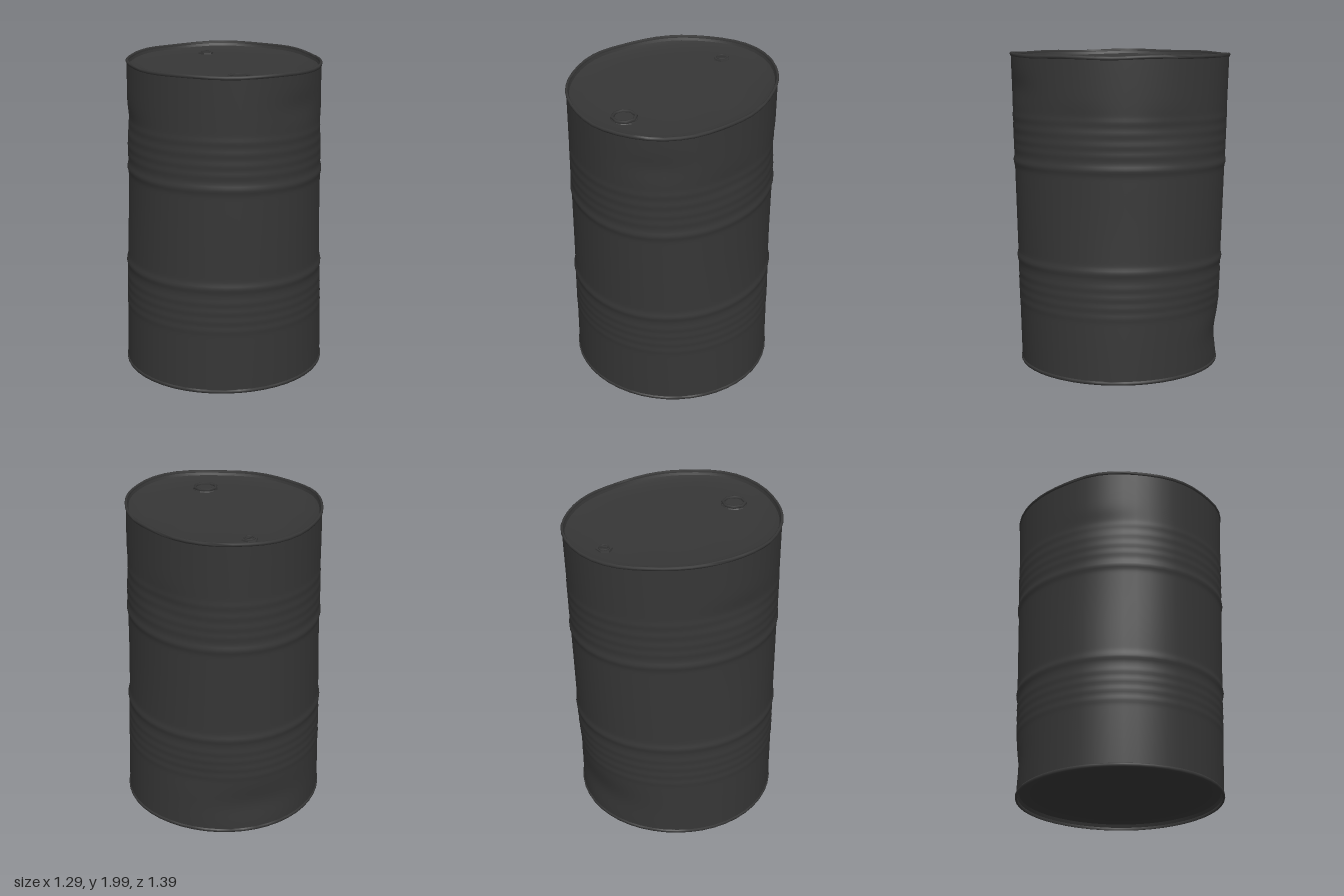
import * as THREE from 'three';
import { toCreasedNormals } from 'three/addons/utils/BufferGeometryUtils.js';

const SEGMENTS = 48;
const material = new THREE.MeshStandardMaterial({ color: 0x363636 });

// Radii of the bent top and bottom edges, in even steps from +z towards +x
const TOP = [0.69, 0.688, 0.645, 0.602, 0.588, 0.603, 0.645, 0.688, 0.692, 0.66, 0.62, 0.603, 0.615, 0.63, 0.649, 0.665];
const BOTTOM = [0.646, 0.641, 0.64, 0.628, 0.632, 0.631, 0.647, 0.656];

// Dents: angle, height, angular size, vertical size, depth
const DENTS = [
  [3.14, 0.2, 0.45, 0.12, 0.021],
  [2.6, 0.4, 0.3, 0.1, 0.008],
  [4.71, 1.62, 0.35, 0.08, 0.012],
  [1.57, 0.95, 0.5, 0.4, 0.01],
  [4.71, 1.2, 0.5, 0.4, 0.01],
  [0.45, 1.78, 0.2, 0.08, 0.01],
  [2.2, 1.55, 0.25, 0.1, 0.01],
  [1.2, 1.6, 0.25, 0.08, 0.008],
];

// Rolled hoops and finer beads: height, half width, bulge
const RIBS = [[0.695, 0.024, 0.008], [1.315, 0.024, 0.008]];
for (const y of [0.42, 0.48, 0.54, 0.6, 1.4, 1.46, 1.53, 1.6]) RIBS.push([y, 0.02, 0.003]);

// Smooth closed interpolation of a radius table
function radiusAt(table, angle) {
  const n = table.length;
  const f = (angle / (Math.PI * 2)) * n;
  const i = Math.floor(f);
  const u = f - i;
  const [a, b, c, d] = [n - 1, 0, 1, 2].map((k) => table[(i + k) % n]);
  return b + 0.5 * u * (c - a + u * (2 * a - 5 * b + 4 * c - d + u * (3 * (b - c) + d - a)));
}

function outline(angle, y) {
  let r = THREE.MathUtils.lerp(radiusAt(BOTTOM, angle), radiusAt(TOP, angle), y / 2);
  for (const [da, dy, sa, sy, depth] of DENTS) {
    const turn = Math.atan2(Math.sin(angle - da), Math.cos(angle - da));
    r -= depth * Math.exp(-((turn / sa) ** 2) - ((y - dy) / sy) ** 2);
  }
  return r;
}

// Revolve [fraction of outline, height, extra radius] and bend it to the outline
function sweep(name, profile, crease = 0.7) {
  const points = profile.map(([s, y]) => new THREE.Vector2(s, y));
  const geometry = new THREE.LatheGeometry(points, SEGMENTS);
  const pos = geometry.attributes.position;
  for (let i = 0; i < pos.count; i++) {
    const [s, y, extra = 0] = profile[i % profile.length];
    const angle = ((Math.floor(i / profile.length) % SEGMENTS) / SEGMENTS) * Math.PI * 2;
    const r = s * outline(angle, y) + extra;
    // the top edge is slightly wavy
    const rise = THREE.MathUtils.clamp((y - 1.9) / 0.08, 0, 1) * s ** 4;
    const wave = rise * (0.003 * Math.sin(3 * angle + 0.6) + 0.003 * Math.sin(7 * angle));
    pos.setXYZ(i, r * Math.sin(angle), y + wave, r * Math.cos(angle));
  }
  const mesh = new THREE.Mesh(toCreasedNormals(geometry, crease), material);
  mesh.name = name;
  return mesh;
}

// Low faceted plug part standing on the lid
function prism(name, radius, height, sides, turn = 0) {
  const geometry = new THREE.CylinderGeometry(radius * 0.94, radius, height, sides);
  const mesh = new THREE.Mesh(toCreasedNormals(geometry, 0.3), material);
  mesh.name = name;
  mesh.position.y = height / 2;
  mesh.rotation.y = turn;
  return mesh;
}

// Flat raised ring
function ring(name, radius, tube, sides, y) {
  const geometry = new THREE.TorusGeometry(radius, tube, 6, sides);
  geometry.rotateX(Math.PI / 2);
  const mesh = new THREE.Mesh(geometry, material);
  mesh.name = name;
  mesh.position.y = y;
  return mesh;
}

export function createModel() {
  const drum = new THREE.Group();
  drum.name = 'drum';

  // Side wall with hoops and beads
  const wall = [];
  const steps = 150;
  for (let i = 0; i <= steps; i++) {
    const y = 0.02 + (i / steps) * 1.955;
    let bulge = 0;
    for (const [ry, w, h] of RIBS) bulge += h * Math.exp(-(((y - ry) / w) ** 2));
    wall.push([1, y, bulge - 0.002]);
  }
  drum.add(sweep('sideWall', wall));

  // Rolled rims, each a closed loop in section
  const lip = (y) => [
    [1, y - 0.013, -0.01], [1, y - 0.011, 0.001], [1, y - 0.004, 0.004],
    [1, y + 0.005, 0.004], [1, y + 0.011, -0.001], [1, y + 0.011, -0.008],
    [1, y + 0.003, -0.013], [1, y - 0.013, -0.01],
  ];
  drum.add(sweep('topRim', lip(1.982), 1.2));
  drum.add(sweep('bottomRim', lip(0.018), 1.2));

  // Recessed ends, the lid sagging towards the middle
  drum.add(sweep('lid', [
    [1, 1.982, -0.01], [1, 1.962, -0.018], [0.93, 1.951], [0.82, 1.941], [0.7, 1.937], [0.35, 1.937], [0, 1.937],
  ]));
  drum.add(sweep('base', [
    [0, 0.05], [0.5, 0.05], [0.93, 0.048], [1, 0.042, -0.02], [1, 0.015, -0.01],
  ]));

  // Large filler plug
  const filler = new THREE.Group();
  filler.name = 'fillerPlug';
  filler.position.set(-0.035, 1.935, 0.455);
  filler.add(prism('fillerCollar', 0.083, 0.008, 16));
  filler.add(ring('fillerRing', 0.07, 0.011, 8, 0.014));
  filler.add(prism('fillerCap', 0.062, 0.012, 16));
  drum.add(filler);

  // Small vent plug with a hexagonal head and a raised bar
  const vent = new THREE.Group();
  vent.name = 'ventPlug';
  vent.position.set(0.018, 1.935, -0.51);
  vent.add(prism('ventHexagon', 0.052, 0.013, 6, 0.5));
  vent.add(ring('ventRing', 0.03, 0.006, 12, 0.014));
  const bar = new THREE.Mesh(new THREE.BoxGeometry(0.045, 0.01, 0.012), material);
  bar.name = 'ventBar';
  bar.position.y = 0.017;
  bar.rotation.y = 0.6;
  vent.add(bar);
  drum.add(vent);

  return drum;
}
